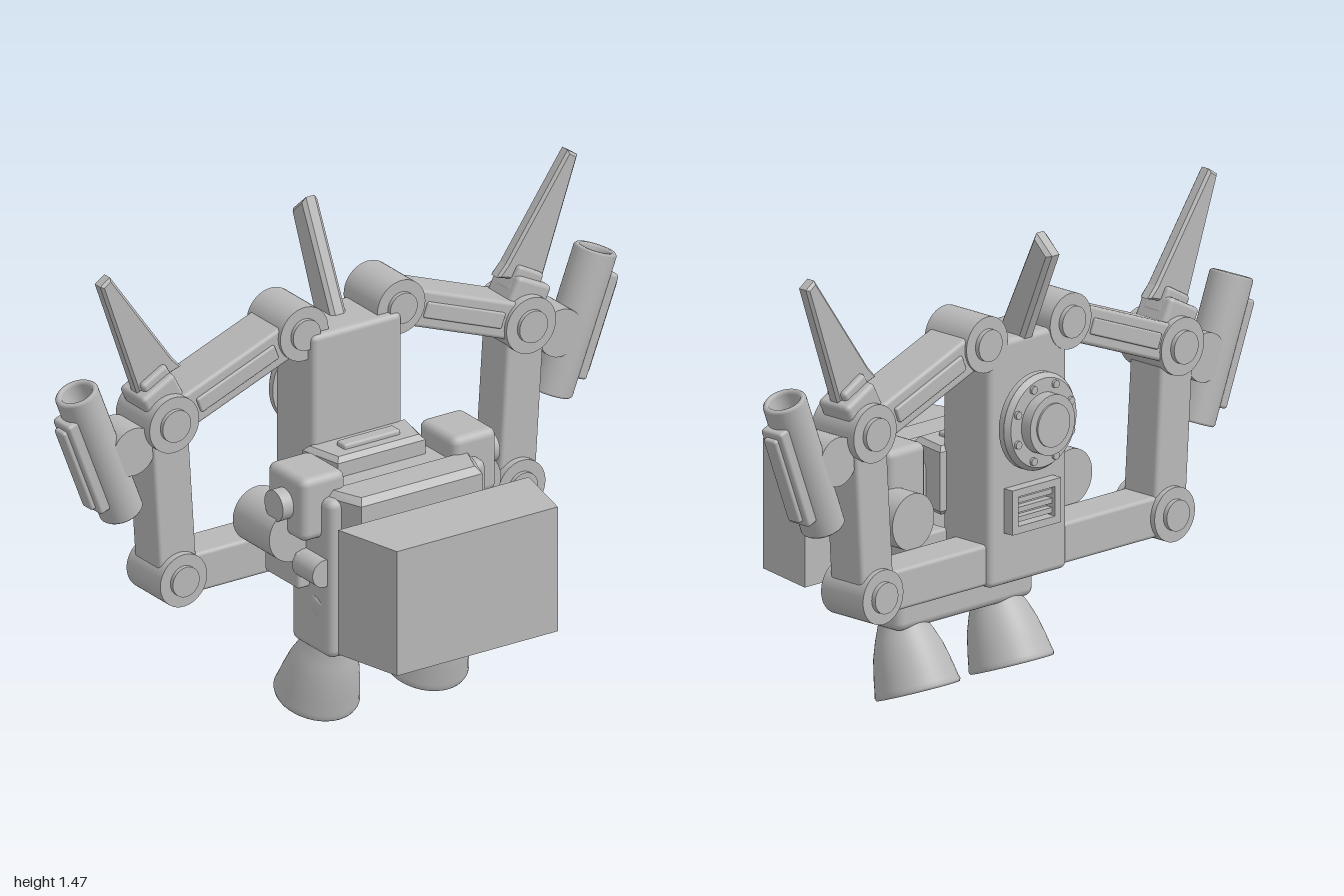
import * as THREE from 'three';
import { RoundedBoxGeometry } from 'three/addons/geometries/RoundedBoxGeometry.js';

export function createModel() {
  const model = new THREE.Group();
  const grey = new THREE.MeshStandardMaterial({ color: 0xb8b8b8 });
  grey.name = 'plainGrey';

  const add = (name, geo, x, y, z, parent = model) => {
    const m = new THREE.Mesh(geo, grey);
    m.name = name;
    m.position.set(x, y, z);
    parent.add(m);
    return m;
  };
  // box given by its ranges, with softened edges
  const block = (name, x0, x1, y0, y1, z0, z1, r = 0.015, parent = model) =>
    add(name, new RoundedBoxGeometry(x1 - x0, y1 - y0, z1 - z0, 2, r),
      (x0 + x1) / 2, (y0 + y1) / 2, (z0 + z1) / 2, parent);
  // cylinder lying along z from z0 to z1
  const discZ = (name, r, x, y, z0, z1, r2 = r, parent = model) => {
    const g = new THREE.CylinderGeometry(r2, r, z1 - z0, 40).rotateX(Math.PI / 2);
    return add(name, g, x, y, (z0 + z1) / 2, parent);
  };
  // outline in the xy plane, extruded and bevelled, centred on z = 0
  const plate = (pts, depth, bevel = 0) => {
    const shape = new THREE.Shape(pts.map(p => new THREE.Vector2(p[0], p[1])));
    const d = depth - 2 * bevel;
    return new THREE.ExtrudeGeometry(shape, {
      depth: d, bevelEnabled: bevel > 0, bevelSize: bevel, bevelOffset: -bevel,
      bevelThickness: bevel, bevelSegments: 1,
    }).translate(0, 0, -d / 2);
  };
  // beam between two points of the xy plane
  const beam = (name, a, b, w, z0, z1, r = 0.012) => {
    const dx = b[0] - a[0], dy = b[1] - a[1];
    const m = add(name, new RoundedBoxGeometry(w, Math.hypot(dx, dy), z1 - z0, 2, r),
      (a[0] + b[0]) / 2, (a[1] + b[1]) / 2, (z0 + z1) / 2);
    m.rotation.z = Math.atan2(-dx, dy);
    return m;
  };
  // outline drawn as (x, -z), raised along y
  const slab = (name, pts, y0, y1, bevel) =>
    add(name, plate(pts, y1 - y0, bevel).rotateX(-Math.PI / 2), 0, (y0 + y1) / 2, 0);

  // front box, narrower towards the front
  slab('frontBox', [[-0.285, -0.463], [0.285, -0.463], [0.338, -0.237], [-0.338, -0.237]], 0.33, 0.727, 0);

  // torso
  block('torsoCore', -0.28, 0.28, 0.247, 0.75, -0.095, 0.11, 0.025);
  slab('chestPlate', [[-0.215, -0.177], [0.215, -0.177], [0.265, -0.04], [-0.265, -0.04]], 0.29, 0.767, 0.02);
  slab('collarStep', [[-0.155, 0.03], [0.155, 0.03], [0.185, 0.17], [-0.185, 0.17]], 0.6, 0.81, 0.015);
  block('collarRidge', -0.1, 0.1, 0.8, 0.825, -0.12, -0.075, 0.008);
  block('bellyPlate', -0.22, 0.22, 0.262, 0.31, 0.08, 0.135, 0.012);

  // spine tower with its back details
  block('spineTower', -0.16, 0.16, 0.41, 1.155, -0.35, -0.153, 0.018);
  discZ('backNeck', 0.11, 0, 0.9, -0.385, -0.34);
  discZ('backFlange', 0.135, 0, 0.9, -0.413, -0.395, 0.148);
  discZ('backFlangeRim', 0.148, 0, 0.9, -0.396, -0.376);
  discZ('backHub', 0.092, 0, 0.9, -0.45, -0.41);
  discZ('backHubCap', 0.066, 0, 0.9, -0.456, -0.45);
  for (let i = 0; i < 8; i++) {
    const a = (i + 0.5) * Math.PI / 4;
    discZ('flangeBolt', 0.012, 0.118 * Math.cos(a), 0.9 + 0.118 * Math.sin(a), -0.422, -0.412);
  }
  // vent: frame with a hole and slats inside
  const frame = new THREE.Shape([[-0.1, -0.068], [0.1, -0.068], [0.1, 0.068], [-0.1, 0.068]]
    .map(p => new THREE.Vector2(...p)));
  frame.holes.push(new THREE.Path([[-0.075, -0.045], [-0.075, 0.045], [0.075, 0.045], [0.075, -0.045]]
    .map(p => new THREE.Vector2(...p))));
  add('ventFrame', new THREE.ExtrudeGeometry(frame, { depth: 0.04, bevelEnabled: false }), 0, 0.638, -0.385);
  for (let i = -1; i <= 1; i++) {
    add('ventSlat', new THREE.BoxGeometry(0.15, 0.016, 0.025), 0, 0.638 + i * 0.029, -0.36);
  }

  // swept centre fin: outline drawn as (-z, y)
  add('centreFin', plate([[0.22, 1.1], [0.33, 1.1], [0.463, 1.42], [0.398, 1.478]], 0.054, 0.012)
    .rotateY(Math.PI / 2), 0, 0, 0);

  // thruster outline: outside from the knob to the rim, then inside
  const nozzle = [[0, 0.4], [0.085, 0.4], [0.092, 0.385], [0.09, 0.34], [0.07, 0.295], [0.07, 0.265],
    [0.076, 0.26], [0.076, 0.24], [0.066, 0.235], [0.068, 0.215], [0.088, 0.17], [0.106, 0.12],
    [0.119, 0.06], [0.126, 0.02], [0.129, 0.008], [0.126, 0], [0.118, 0], [0.111, 0.05],
    [0.097, 0.12], [0.06, 0.2], [0, 0.2]].map(p => new THREE.Vector2(...p)).reverse();

  for (const s of [1, -1]) {
    const at = (x, y) => [s * x, y];
    const span = (name, x0, x1, ...rest) =>
      s > 0 ? block(name, x0, x1, ...rest) : block(name, -x1, -x0, ...rest);

    // shoulder pods and side fittings
    span('shoulderPod', 0.19, 0.347, 0.62, 0.82, -0.122, 0.066, 0.025);
    add('podKnob', new THREE.CylinderGeometry(0.048, 0.048, 0.06, 32).rotateZ(Math.PI / 2), s * 0.355, 0.72, -0.027);
    discZ('sideTank', 0.086, s * 0.325, 0.62, -0.2, -0.012);
    span('sideBlock', 0.15, 0.32, 0.446, 0.56, -0.17, 0.004, 0.01);
    discZ('sidePort', 0.043, s * 0.288, 0.523, -0.01, 0.095);

    // thruster tilted backwards
    const t = add('thruster', new THREE.LatheGeometry(nozzle, 40), s * 0.193, 0.053, -0.087);
    t.rotation.x = 0.347;

    // folding arm
    const hip = at(0.6, 0.48), elbow = at(0.633, 0.985), shoulder = at(0.172, 1.16);
    beam('lowerArm', at(0.12, 0.48), hip, 0.125, -0.335, -0.2);
    beam('uprightArm', hip, elbow, 0.132, -0.335, -0.2);
    beam('upperArm', elbow, shoulder, 0.115, -0.345, -0.19);
    beam('upperArmRib', at(0.54, 1.02), at(0.265, 1.125), 0.05, -0.355, -0.182, 0.006);
    for (const [name, p, r] of [['hipJoint', hip, 0.083], ['elbowJoint', elbow, 0.088], ['shoulderJoint', shoulder, 0.085]]) {
      discZ(name, r, p[0], p[1], -0.352, -0.178);
      discZ(name + 'Cap', r * 0.57, p[0], p[1], -0.367, -0.165);
    }

    // blade on the elbow, leaning outwards
    beam('bladeMount', at(0.618, 1.0), at(0.672, 1.105), 0.13, -0.33, -0.205, 0.015);
    beam('bladeSocket', at(0.63, 1.06), at(0.672, 1.135), 0.1, -0.305, -0.225, 0.012);
    const blade = [[0.716, 1.08], [0.56, 1.13], [0.592, 1.165], [0.812, 1.475], [0.846, 1.452]].map(p => at(...p));
    add('blade', plate(s > 0 ? blade : blade.reverse(), 0.044, 0.008), 0, 0, -0.265);

    // barrel pod, open at the top, with a plate on its outer side
    discZ('barrelPivot', 0.075, s * 0.757, 0.92, -0.325, -0.205);
    const barrel = new THREE.Group();
    barrel.name = 'barrelPod';
    barrel.position.set(s * 0.841, 0.92, -0.265);
    barrel.rotation.z = -s * 0.368;
    if (s < 0) barrel.rotation.z = 0.368;
    if (s > 0) barrel.rotation.z = -0.368;
    model.add(barrel);
    const tube = [[0, -0.225], [0.06, -0.225], [0.066, -0.218], [0.066, 0.218], [0.06, 0.225],
      [0.05, 0.225], [0.046, 0.215], [0.046, 0.08], [0, 0.08]].map(p => new THREE.Vector2(...p));
    add('barrel', new THREE.LatheGeometry(tube, 40), 0, 0, 0, barrel);
    add('barrelPlate', new RoundedBoxGeometry(0.05, 0.33, 0.085, 2, 0.01), s * 0.06, 0.0, 0, barrel);
    add('barrelRail', new RoundedBoxGeometry(0.03, 0.29, 0.05, 2, 0.008), s * 0.085, 0.0, 0, barrel);
  }
  return model;
}
